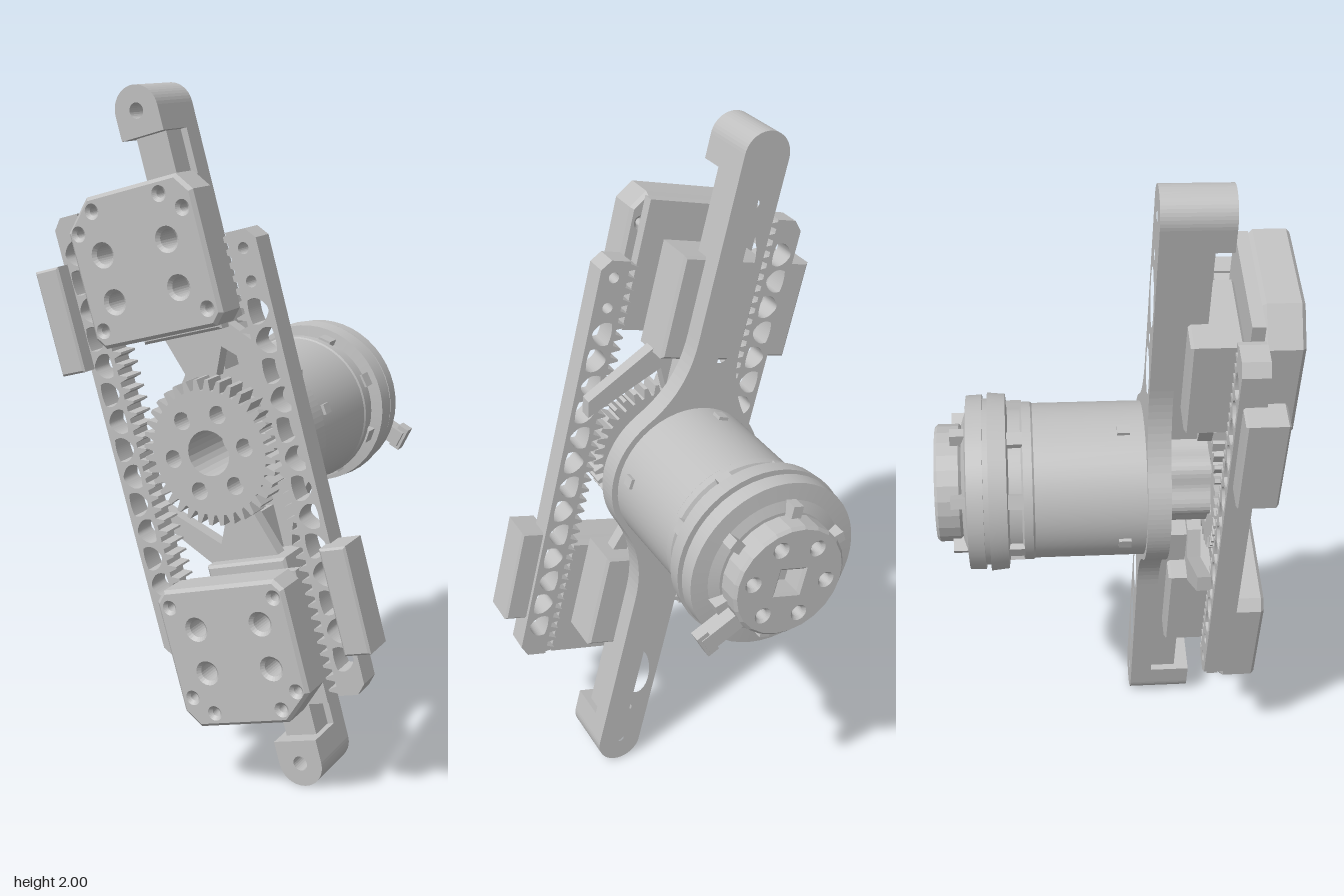
import * as THREE from 'three';

const grey = new THREE.MeshStandardMaterial({ color: 0xc0c0c0 });
grey.name = 'light grey';

// Local frame: Y along the main bar, Z along the motor axis towards the gear side.
export function createModel() {
  const model = new THREE.Group();
  model.name = 'rackGripper';
  const body = new THREE.Group();
  body.name = 'gripperBody';
  body.rotation.set(0.022, -0.85, 0.26, 'YXZ');
  body.position.set(-0.026, 1.0, -0.03);
  model.add(body);

  const add = (parent, geo, name) => {
    const m = new THREE.Mesh(geo, grey);
    m.name = name;
    parent.add(m);
    return m;
  };
  const plate = (parent, shape, z0, z1, name, bevel = 0) => {
    const geo = new THREE.ExtrudeGeometry(shape, {
      depth: z1 - z0 - 2 * bevel, curveSegments: 12, bevelEnabled: bevel > 0,
      bevelSize: bevel, bevelThickness: bevel, bevelOffset: -bevel, bevelSegments: 1,
    });
    geo.translate(0, 0, z0 + bevel);
    return add(parent, geo, name);
  };
  const box = (parent, w, h, d, x, y, z, name) => {
    const m = add(parent, new THREE.BoxGeometry(w, h, d), name);
    m.position.set(x, y, z);
    return m;
  };
  const polygon = (points) => new THREE.Shape(points.map(([x, y]) => new THREE.Vector2(x, y)));
  const hole = (shape, x, y, rx, ry = rx, rot = 0) => {
    const p = new THREE.Path();
    p.absellipse(x, y, rx, ry, 0, Math.PI * 2, true, rot);
    shape.holes.push(p);
  };
  const turned = (profile, name) => {
    // flat-faced rings: each pair of profile points becomes its own band
    const g = new THREE.Group();
    g.name = name;
    for (let i = 0; i < profile.length - 1; i++) {
      const band = [profile[i], profile[i + 1]].map(([r, z]) => new THREE.Vector2(r, z));
      const geo = new THREE.LatheGeometry(band, 48);
      geo.rotateX(Math.PI / 2);
      add(g, geo, name + 'Band');
    }
    body.add(g);
  };

  // Main bar: slim arms flaring into a round motor mount
  const P = Math.PI, R = 0.07, L = 0.96, bar = new THREE.Shape();
  bar.moveTo(R, 0.42);
  bar.quadraticCurveTo(R, 0.27, 0.17, 0.17);
  bar.absarc(0, 0, 0.24, P / 4, -P / 4, true);
  bar.quadraticCurveTo(R, -0.27, R, -0.42);
  bar.lineTo(R, -L);
  bar.absarc(0, -L, R, 0, -P, true);
  bar.lineTo(-R, -0.42);
  bar.quadraticCurveTo(-R, -0.27, -0.17, -0.17);
  bar.absarc(0, 0, 0.24, 1.25 * P, 0.75 * P, true);
  bar.quadraticCurveTo(-R, 0.27, -R, 0.42);
  bar.lineTo(-R, L);
  bar.absarc(0, L, R, P, 0, true);
  for (const s of [1, -1]) {
    hole(bar, 0, s * 0.69, 0.042, 0.085, -0.25);
    hole(bar, 0, s * 0.43, 0.04, 0.07, -0.25);
    for (const y of [0.95, 0.83, 0.55]) hole(bar, 0, s * y, 0.013);
  }
  plate(body, bar, -0.02, 0.045, 'mainBar');

  // Two identical halves, half a turn apart
  for (const half of [0, 1]) {
    const side = new THREE.Group();
    side.name = half ? 'lowerHalf' : 'upperHalf';
    side.rotation.z = half * P;
    body.add(side);

    // Round-ended knob on the bar tip
    const knob = new THREE.Shape();
    knob.moveTo(R, 0.89);
    knob.lineTo(R, L);
    knob.absarc(0, L, R, 0, P, false);
    knob.lineTo(-R, 0.89);
    hole(knob, 0, L, 0.022);
    plate(side, knob, 0.045, 0.168, 'endKnob');

    // Stiffening rib along the arm and a guide strut reaching the far rack
    box(side, 0.1, 0.68, 0.08, 0, 0.55, 0.083, 'armRib');
    const strut = polygon([[-0.05, 0.2], [0.04, 0.2], [0.08, 0.28], [0.28, 0.12], [0.29, 0.17],
      [0.12, 0.34], [-0.1, 0.34]]);
    plate(side, strut, 0.125, 0.165, 'guideStrut');

    // Spacer block, base plate and cover
    const spacer = polygon([[-0.14, 0.33], [0.12, 0.33], [0.12, 0.64], [-0.14, 0.64]]);
    plate(side, spacer, 0.07, 0.21, 'spacerBlock', 0.008);
    box(side, 0.37, 0.39, 0.035, 0, 0.555, 0.226, 'basePlate');

    const cover = polygon([[-0.17, 0.35], [0.19, 0.35], [0.22, 0.38], [0.22, 0.71], [0.18, 0.76],
      [-0.11, 0.76], [-0.195, 0.68], [-0.195, 0.38]]);
    for (const x of [-0.1, 0.11]) for (const y of [0.47, 0.6]) hole(cover, x, y, 0.026);
    for (const x of [-0.16, 0.18]) for (const y of [0.4, 0.67]) hole(cover, x, y, 0.012);
    for (const x of [-0.1, 0.12]) hole(cover, x, 0.72, 0.012);
    plate(side, cover, 0.243, 0.352, 'cover', 0.01);

    // Toothed rack with a truss of holes and a solid screwed end
    const rack = new THREE.Shape(), y0 = -0.58, y1 = 0.73, n = 37, step = (y1 - y0) / n;
    rack.moveTo(-0.225, y0);
    for (let i = 0; i < n; i++) {
      const y = y0 + i * step;
      rack.lineTo(-0.225, y + step * 0.2);
      rack.lineTo(-0.198, y + step * 0.42);
      rack.lineTo(-0.198, y + step * 0.58);
      rack.lineTo(-0.225, y + step * 0.8);
    }
    rack.lineTo(-0.225, y1);
    rack.lineTo(-0.285, y1);
    rack.lineTo(-0.312, y1 - 0.03);
    rack.lineTo(-0.312, y0 + 0.03);
    rack.lineTo(-0.285, y0);
    for (let i = 0; i < 13; i++) {
      const y = y0 + 0.22 + i * 0.082, d = i % 2 ? 1 : -1, x = -0.268;
      const tri = new THREE.Path();
      tri.moveTo(x - d * 0.026, y - 0.032);
      tri.quadraticCurveTo(x - d * 0.034, y, x - d * 0.026, y + 0.032);
      tri.quadraticCurveTo(x + d * 0.005, y + 0.045, x + d * 0.026, y + 0.012);
      tri.quadraticCurveTo(x + d * 0.034, y, x + d * 0.026, y - 0.012);
      tri.quadraticCurveTo(x + d * 0.005, y - 0.045, x - d * 0.026, y - 0.032);
      rack.holes.push(tri);
    }
    for (const y of [-0.53, -0.44]) hole(rack, -0.268, y, 0.016);
    plate(side, rack, 0.172, 0.245, 'rack');

    // Jaw pad on the outer edge of the rack
    const pad = polygon([[-0.38, 0.295], [-0.3, 0.295], [-0.3, 0.6], [-0.38, 0.6]]);
    plate(side, pad, 0.185, 0.297, 'jawPad', 0.006);
  }

  // Pinion gear
  const gear = new THREE.Shape(), teeth = 36;
  for (let i = 0; i < teeth; i++) {
    [[0, 0.18], [0.25, 0.18], [0.45, 0.21], [0.75, 0.21]].forEach(([f, r], k) => {
      const a = ((i + f) / teeth) * 2 * P;
      if (i + k) gear.lineTo(r * Math.cos(a), r * Math.sin(a));
      else gear.moveTo(r, 0);
    });
  }
  hole(gear, 0, 0, 0.066);
  for (let i = 0; i < 6; i++) hole(gear, 0.118 * Math.cos(i * P / 3), 0.118 * Math.sin(i * P / 3), 0.026);
  plate(body, gear, 0.168, 0.238, 'pinionGear');

  // Fluted hub behind the gear
  const hub = new THREE.Shape();
  for (let i = 0; i < 72; i++) {
    const a = (i / 72) * 2 * P, r = 0.123 + 0.01 * Math.cos(6 * a);
    if (i) hub.lineTo(r * Math.cos(a), r * Math.sin(a));
    else hub.moveTo(r, 0);
  }
  hole(hub, 0, 0, 0.066);
  plate(body, hub, 0.045, 0.168, 'gearHub');

  // Motor housing with grooves and a wide rear flange
  turned([[0.001, -0.53], [0.17, -0.53], [0.2, -0.52], [0.248, -0.515], [0.25, -0.47],
    [0.238, -0.47], [0.238, -0.455], [0.255, -0.455], [0.25, -0.405], [0.215, -0.4],
    [0.215, -0.365], [0.226, -0.36], [0.226, -0.335], [0.222, -0.33], [0.222, -0.02]], 'motorHousing');

  // Rear cap with a square socket and a ring of screw holes
  const cap = new THREE.Shape();
  cap.absarc(0, 0, 0.168, 0, P * 2, false);
  cap.holes.push(polygon([[-0.035, -0.035], [-0.035, 0.035], [0.035, 0.035], [0.035, -0.035]]));
  for (let i = 0; i < 6; i++) hole(cap, 0.115 * Math.cos(i * P / 3), 0.115 * Math.sin(i * P / 3), 0.016);
  plate(body, cap, -0.605, -0.53, 'rearCap', 0.008);

  // Gussets around the cap, clips in the groove and sockets near the mount
  const ringOf = (count, start, radius, z, size, name) => {
    for (let i = 0; i < count; i++) {
      const a = start + (i / count) * 2 * P;
      const m = box(body, ...size, radius * Math.cos(a), radius * Math.sin(a), z, name);
      m.rotation.z = a;
    }
  };
  ringOf(6, 0.5, 0.172, -0.54, [0.06, 0.03, 0.04], 'gusset');
  ringOf(8, 0.2, 0.217, -0.382, [0.03, 0.04, 0.045], 'clip');
  ringOf(4, 0.1, 0.216, -0.08, [0.03, 0.03, 0.035], 'sideSocket');

  // Cable tab on the rear cap
  const tab = box(body, 0.11, 0.05, 0.05, 0.165, -0.15, -0.575, 'cableTab');
  tab.rotation.z = -0.73;
  const tabEnd = box(body, 0.035, 0.075, 0.035, 0.2, -0.18, -0.58, 'cableTabEnd');
  tabEnd.rotation.z = -0.73;

  return model;
}
